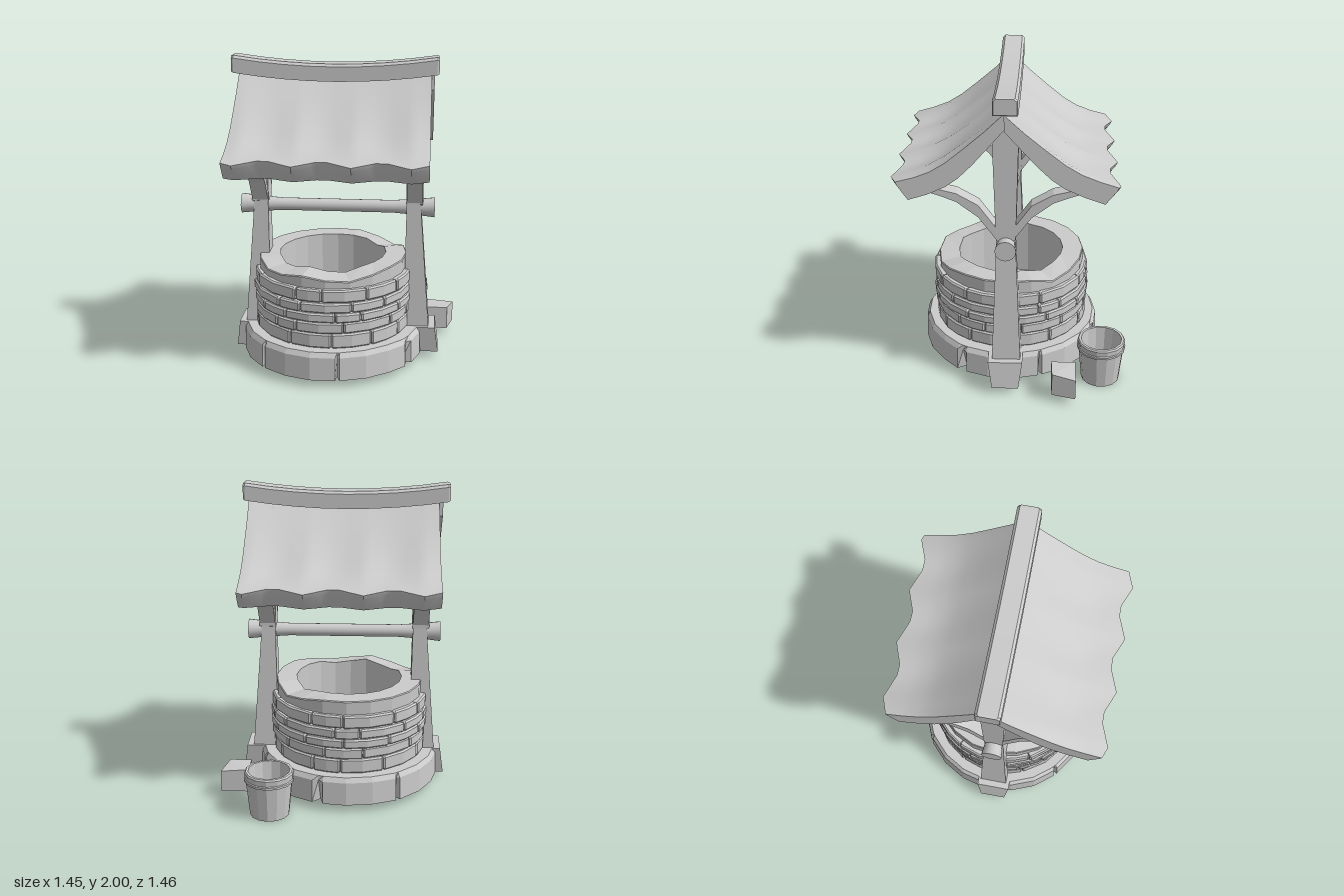
import * as THREE from 'three';
import { toCreasedNormals } from 'three/addons/utils/BufferGeometryUtils.js';

const flat = new THREE.MeshStandardMaterial({ color: 0xcccccc, flatShading: true });
const flatDouble = new THREE.MeshStandardMaterial({ color: 0xcccccc, flatShading: true, side: THREE.DoubleSide });
const smooth = new THREE.MeshStandardMaterial({ color: 0xcccccc });

let seed = 7;
const rand = () => (seed = (seed * 16807) % 2147483647) / 2147483647;

// Skins a list of equal cross-sections ([x, y, z] points); either wraps round or is capped.
// An open section is not joined from its last point to its first.
function loft(rings, wrap = false, open = false) {
  const n = rings[0].length, m = rings.length, pos = rings.flat(2), idx = [];
  for (let i = 0; i < (wrap ? m : m - 1); i++) {
    for (let j = 0; j < (open ? n - 1 : n); j++) {
      const a = i * n + j, b = i * n + (j + 1) % n, k = ((i + 1) % m) * n;
      const c = k + (j + 1) % n, d = k + j;
      idx.push(a, b, c, a, c, d);
    }
  }
  if (!wrap) {
    // caps are ladders between the two halves of the section
    for (const [o, flip] of [[0, true], [(m - 1) * n, false]]) {
      for (let j = 0; j < n / 2 - 1; j++) {
        const q = [o + j, o + j + 1, o + n - 2 - j, o + n - 1 - j];
        if (flip) q.reverse();
        idx.push(q[0], q[1], q[2], q[0], q[2], q[3]);
      }
    }
  }
  // turn the faces outward if the enclosed volume is negative
  const p = (i) => new THREE.Vector3().fromArray(pos, i * 3);
  let volume = 0;
  for (let i = 0; i < idx.length; i += 3) volume += p(idx[i]).dot(p(idx[i + 1]).cross(p(idx[i + 2])));
  if (volume < 0) idx.reverse();
  const g = new THREE.BufferGeometry();
  g.setAttribute('position', new THREE.Float32BufferAttribute(pos, 3));
  g.setIndex(idx);
  g.computeVertexNormals();
  return g;
}

function add(parent, name, geometry, material = flat) {
  const mesh = new THREE.Mesh(geometry, material);
  mesh.name = name;
  parent.add(mesh);
  return mesh;
}

// Radial section around the well axis: [r, y] points placed at angle a (0 = front)
const WX = -0.09, WZ = 0.033;
const radial = (a, pts) => pts.map(([r, y]) => [WX + r * Math.sin(a), y, WZ + r * Math.cos(a)]);
// Horizontal rectangle at height y
const rect = (x0, x1, z0, z1, y) => [[x0, y, z0], [x1, y, z0], [x1, y, z1], [x0, y, z1]];

// Foundation shell, open below, with wedge-shaped cracks widening downward
function foundation() {
  const rings = [], count = 7, step = (Math.PI * 2) / count;
  for (let i = 0; i < count; i++) {
    const a0 = 0.14 + i * step, r = 0.59 + 0.012 * rand(), w = i % 2 ? 0.06 : 0.025;
    for (const [da, cut] of [[-w, 0], [0, 0.06], [w, 0], [step * 0.35, 0], [step * 0.67, 0]]) {
      rings.push(radial(a0 + da, [
        [r - cut, 0.05], [r - 0.005 - cut * 0.3, 0.2], [r - 0.025, 0.23], [0.45, 0.23],
      ]));
    }
  }
  return loft(rings, true, true);
}

// One bevelled stone following the curve of the wall
function brick(a0, a1, y0, y1, r) {
  const b = 0.01, da = b / r;
  const section = (a, s) => radial(a, [
    [0.44, y0 + s], [r - b - s, y0 + s], [r - s, y0 + b + s],
    [r - s, y1 - b - s], [r - b - s, y1 - s], [0.44, y1 - s],
  ]);
  return loft([section(a0, 0.006), section(a0 + da, 0), section((a0 + a1) / 2, 0),
    section(a1 - da, 0), section(a1, 0.006)]);
}

function brickWall() {
  const wall = new THREE.Group();
  wall.name = 'brickWall';
  const rows = [[0.23, 0.327, 0.509], [0.33, 0.403, 0.515], [0.405, 0.466, 0.522], [0.468, 0.533, 0.52], [0.538, 0.622, 0.515]];
  rows.forEach(([y0, y1, r], row) => {
    const count = 12, step = (Math.PI * 2) / count, start = row * 0.27;
    const cuts = Array.from({ length: count }, (_, i) => start + (i + (rand() - 0.5) * 0.55) * step);
    cuts.push(cuts[0] + Math.PI * 2);
    for (let i = 0; i < count; i++) {
      add(wall, 'brick', brick(cuts[i] + 0.004, cuts[i + 1] - 0.004, y0, y1, r + 0.008 * (rand() - 0.5)));
    }
  });
  return wall;
}

// Worn coping and the smooth lining of the shaft
function coping() {
  const tops = [0.675, 0.665, 0.69, 0.71, 0.71, 0.71, 0.71, 0.67, 0.69, 0.71,
    0.71, 0.71, 0.71, 0.71, 0.71, 0.71, 0.7, 0.67, 0.675, 0.695];
  return loft(tops.map((y, i) => radial((i / tops.length) * Math.PI * 2, [
    [0.35, 0.32], [0.48, 0.32], [0.487, y - 0.006], [0.482, y], [0.35, Math.min(0.71, y + 0.015)],
  ])), true);
}

// Wavy, sagging roof slope; side = 1 front, -1 back
const CX = -0.057, CZ = 0.045;
function roofSlope(side) {
  const profile = [[0, 1.89], [0.12, 1.78], [0.25, 1.675], [0.36, 1.59], [0.46, 1.53], [0.57, 1.485], [0.685, 1.445],
    [0.672, 1.42], [0.605, 1.34], [0.48, 1.385], [0.36, 1.44], [0.28, 1.495], [0.19, 1.58], [0, 1.79]];
  const [x0, step, count, peak] = side > 0 ? [-0.68, 0.0347, 35, 2] : [-0.655, 0.0355, 34, 3];
  const rings = [];
  for (let i = 0; i <= count; i++) {
    const k = (((i - peak) % 10) + 10) % 10;
    const dip = Math.min(Math.min(k, 10 - k) / 4, 1);
    const s = (i / count) * 2 - 1;
    rings.push(profile.map(([d, y]) => {
      const t = d / 0.685;
      const wave = dip * (0.018 * t ** 6 - 0.012 * Math.sin(t * Math.PI));
      return [x0 + i * step, y - 0.045 * (1 - s * s) * (1 - t) + wave, CZ + side * (d - 0.055 * dip * t * t)];
    }));
  }
  return toCreasedNormals(loft(rings), 0.6);
}

// Ridge beam with chamfered top edges, lower in the middle
function ridgeBeam() {
  const rings = [];
  for (let i = 0; i <= 10; i++) {
    const inset = i === 0 || i === 10 ? 0.006 : 0;
    const s = i === 0 ? -1 : i === 10 ? 1 : ((i - 1) / 8 * 2 - 1) * 0.98;
    const y = 1.946 - 0.05 * (1 - s * s), h = 0.054 - inset, w = 0.073 - inset, c = 0.016;
    rings.push([[-w, -h], [-w, h - c], [-w + c, h], [w - c, h], [w, h - c], [w, -h]]
      .map(([z, dy]) => [-0.07 + s * 0.65, y + dy, 0.037 + z]));
  }
  return loft(rings);
}

// Curved strap from post to roof
function brace(xa, xb, side) {
  const pts = [[0.03, 1.11, 1.03], [0.06, 1.155, 1.075], [0.16, 1.295, 1.215], [0.29, 1.37, 1.315], [0.39, 1.395, 1.355], [0.47, 1.42, 1.38]];
  return loft(pts.map(([d, up, low]) => {
    const z = CZ + side * d;
    return [[xa, up, z], [xb, up, z], [xb, low, z], [xa, low, z]];
  }));
}

function bucket() {
  const g = new THREE.Group();
  g.name = 'bucket';
  const profile = [[0, 0], [0.125, 0], [0.147, 0.225], [0.157, 0.23], [0.158, 0.245], [0.152, 0.25],
    [0.155, 0.285], [0.148, 0.295], [0.132, 0.295], [0.128, 0.24], [0.112, 0.03], [0, 0.03]];
  add(g, 'pail', new THREE.LatheGeometry(profile.map(([r, y]) => new THREE.Vector2(r, y)), 14), flatDouble);
  g.position.set(0.387, 0, -0.575);
  return g;
}

export function createModel() {
  const model = new THREE.Group();
  model.name = 'well';

  add(model, 'foundation', foundation(), flatDouble);
  model.add(brickWall());
  add(model, 'coping', coping());
  const floor = add(model, 'shaftFloor', new THREE.CircleGeometry(0.45, 20), flatDouble);
  floor.rotation.x = -Math.PI / 2;
  floor.position.set(WX, 0.33, WZ);

  // Posts, feet and braces on both sides
  for (const s of [1, -1]) {
    const frame = new THREE.Group();
    frame.name = s > 0 ? 'leftFrame' : 'rightFrame';
    const X = (d) => CX + s * d;
    add(frame, 'post', loft([[0.2, 0.61, 0.44, 0.092], [1.06, 0.54, 0.45, 0.058], [1.061, 0.555, 0.447, 0.06],
      [1.72, 0.555, 0.447, 0.078], [1.84, 0.555, 0.447, 0.03]]
      .map(([y, o, i, w]) => rect(X(i), X(o), 0.04 - w, 0.04 + w, y))));
    add(frame, 'foot', loft([[0.05, 0.675, 0.085], [0.23, 0.65, 0.11]]
      .map(([y, o, w]) => rect(X(0.46), X(o), CZ - w, CZ + w, y))));
    for (const side of [1, -1]) add(frame, 'brace', brace(X(0.45), X(0.552), side));
    model.add(frame);
  }

  // Winding axle with flared ends
  const axleProfile = [[0, -0.63], [0.065, -0.63], [0.056, -0.55], [0.047, -0.44], [0.041, -0.36]];
  const axlePoints = [...axleProfile, ...axleProfile.map(([r, x]) => [r, -x]).reverse()];
  const axle = add(model, 'axle', toCreasedNormals(
    new THREE.LatheGeometry(axlePoints.map(([r, x]) => new THREE.Vector2(r, x)), 16), 0.6), smooth);
  axle.rotation.z = -Math.PI / 2;
  axle.position.set(CX, 1.025, 0.04);

  // Roof
  add(model, 'frontRoof', roofSlope(1), smooth);
  add(model, 'backRoof', roofSlope(-1), smooth);
  add(model, 'ridgeBeam', ridgeBeam());

  // Loose items beside the well
  model.add(bucket());
  add(model, 'looseStone', loft([0.055, 0.21].map((y) => [
    [0.54, y, -0.405], [0.722, y - (y > 0.1 ? 0.015 : 0), -0.405], [0.68, y, -0.255], [0.54, y, -0.25],
  ])));
  return model;
}
